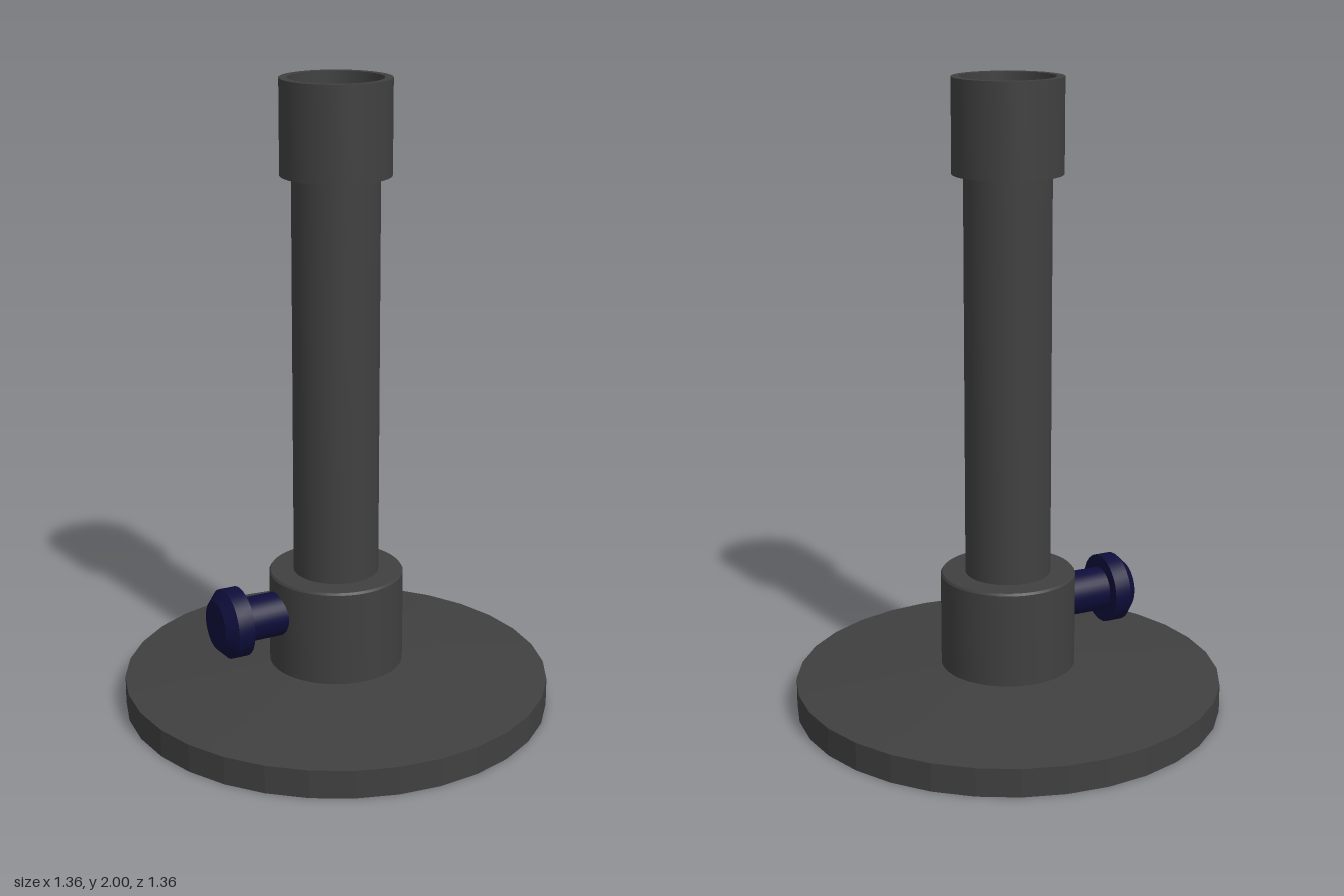
import * as THREE from 'three';
import { toCreasedNormals } from 'three/addons/utils/BufferGeometryUtils.js';

const darkGrey = new THREE.MeshStandardMaterial({ color: 0x404040 });
darkGrey.name = 'dark grey';
const navy = new THREE.MeshStandardMaterial({ color: 0x0d0d3a });
navy.name = 'navy';

// Turned part from [radius, height] points, listed bottom to top along the outside
function turned(name, points, material, segments = 64, crease = 0.3) {
  const profile = points.map(([r, y]) => new THREE.Vector2(r, y));
  const geometry = toCreasedNormals(new THREE.LatheGeometry(profile, segments), crease);
  const mesh = new THREE.Mesh(geometry, material);
  mesh.name = name;
  return mesh;
}

export function createModel() {
  const model = new THREE.Group();
  model.name = 'burnerStand';

  // Faceted disc foot with a shallow cone on top
  model.add(turned('base', [[0, 0], [0.68, 0], [0.68, 0.09], [0.2, 0.14], [0, 0.14]], darkGrey, 32, 0.1));

  // Thick collar at the foot of the tube
  model.add(turned('lowerCollar',
    [[0.213, 0.13], [0.213, 0.438], [0.208, 0.445], [0, 0.445]], darkGrey));

  // Upright tube, closed just below the rim
  model.add(turned('tube', [[0.135, 0.44], [0.135, 1.95], [0, 1.95]], darkGrey));

  // Hollow sleeve around the top
  model.add(turned('topSleeve', [
    [0.13, 1.71], [0.17, 1.71], [0.17, 2], [0.145, 2], [0.145, 1.945], [0.13, 1.945],
  ], darkGrey));

  // Side knob: stem and chamfered head, turned along -x
  const knob = turned('sideKnob', [
    [0.07, 0.18], [0.07, 0.335], [0.11, 0.335], [0.11, 0.388], [0.078, 0.42], [0, 0.42],
  ], navy, 32);
  knob.rotation.z = Math.PI / 2;
  knob.position.y = 0.328;
  model.add(knob);

  return model;
}
